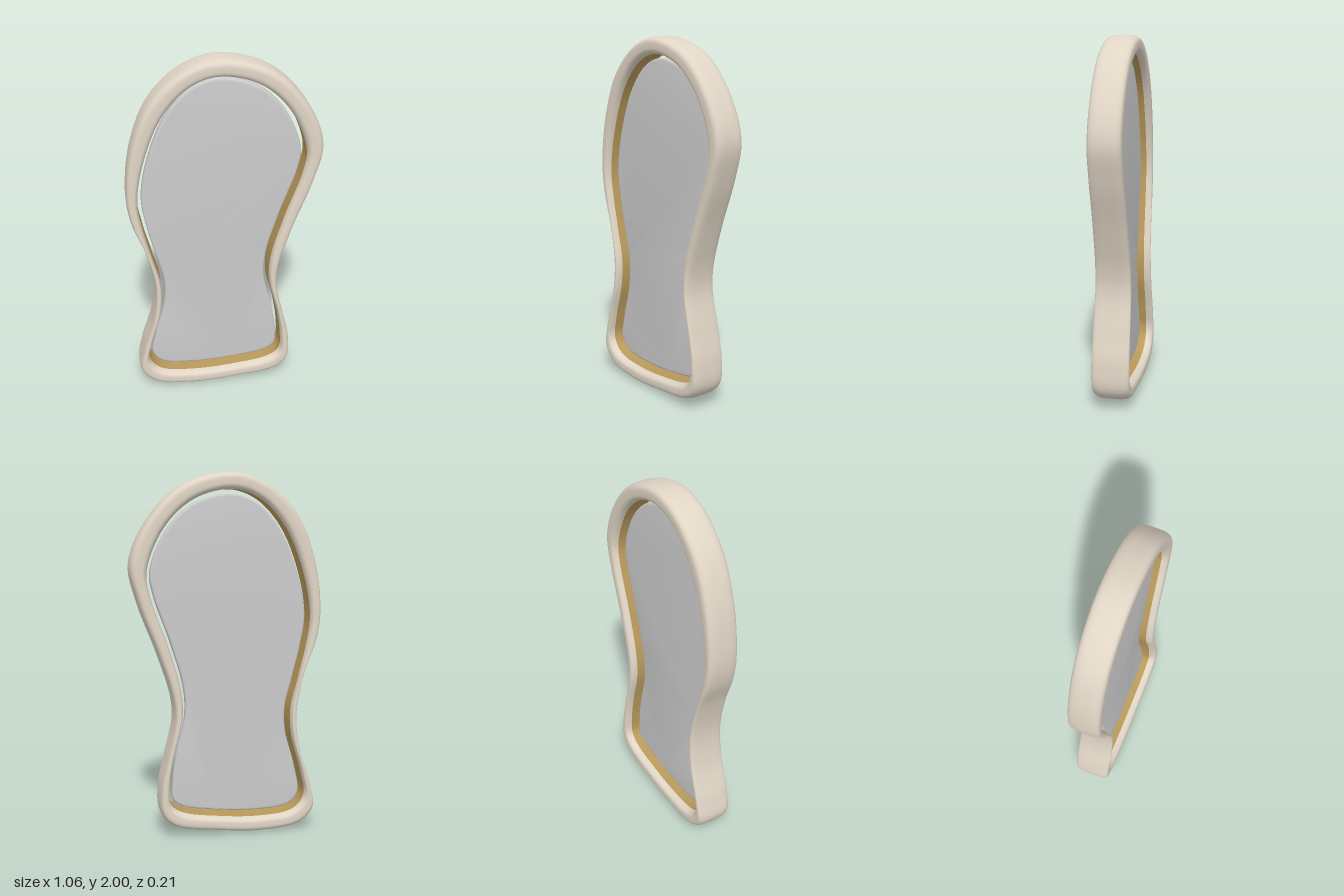
import * as THREE from 'three';
import { toCreasedNormals } from 'three/addons/utils/BufferGeometryUtils.js';

const STEPS = 200;

// Outer rim of the frame and edge of the panel, paired point by point, clockwise from the top
const RIM = [
  [-0.02, 2], [0.25, 1.925], [0.44, 1.73], [0.528, 1.51], [0.485, 1.3], [0.38, 1.02], [0.305, 0.78],
  [0.295, 0.65], [0.34, 0.44], [0.375, 0.28], [0.37, 0.13], [0.3, 0.06], [0.06, 0.02], [-0.2, 0.002],
  [-0.415, 0.035], [-0.497, 0.12], [-0.48, 0.25], [-0.415, 0.465], [-0.395, 0.68], [-0.44, 0.915],
  [-0.51, 1.1], [-0.53, 1.26], [-0.49, 1.55], [-0.385, 1.79], [-0.205, 1.95],
];
const EDGE = [
  [-0.03, 1.885], [0.17, 1.835], [0.325, 1.69], [0.415, 1.47], [0.4, 1.35], [0.305, 1.075], [0.238, 0.835],
  [0.23, 0.68], [0.28, 0.465], [0.303, 0.305], [0.3, 0.2], [0.25, 0.16], [0.06, 0.125], [-0.18, 0.11],
  [-0.365, 0.135], [-0.42, 0.2], [-0.4, 0.335], [-0.345, 0.545], [-0.34, 0.7], [-0.38, 0.865],
  [-0.425, 1.05], [-0.448, 1.21], [-0.415, 1.42], [-0.31, 1.685], [-0.175, 1.835],
];

function sampleLoop(points) {
  const curve = new THREE.CatmullRomCurve3(points.map(([x, y]) => new THREE.Vector3(x, y, 0)), true);
  return Array.from({ length: STEPS }, (_, i) => curve.getPoint(i / STEPS));
}

// Push a clockwise loop outwards
function offsetLoop(loop, d) {
  return loop.map((p, i) => {
    const t = loop[(i + 1) % STEPS].clone().sub(loop[(i + STEPS - 1) % STEPS]).normalize();
    return new THREE.Vector3(p.x - t.y * d, p.y + t.x * d, 0);
  });
}

// Frame is slightly deeper towards the foot
const halfDepth = (y) => 0.103 - 0.015 * THREE.MathUtils.smoothstep(y, 0.2, 1.3);

// Sweep a section of [u, w] pairs: u runs from inner to outer loop, w is depth
function sweep(inner, outer, section) {
  const pos = [], index = [], n = section.length;
  for (let i = 0; i < STEPS; i++) {
    for (const [u, w] of section) {
      const p = inner[i].clone().lerp(outer[i], u);
      pos.push(p.x, p.y, w * halfDepth(outer[i].y));
    }
    for (let j = 0; j < n - 1; j++) {
      const a = i * n + j, b = ((i + 1) % STEPS) * n + j;
      index.push(a, a + 1, b, a + 1, b + 1, b);
    }
  }
  const geo = new THREE.BufferGeometry();
  geo.setAttribute('position', new THREE.Float32BufferAttribute(pos, 3));
  geo.setIndex(index);
  geo.computeVertexNormals();
  return geo;
}

export function createModel() {
  const group = new THREE.Group();
  const add = (name, geo, color, side = THREE.FrontSide) => {
    const mesh = new THREE.Mesh(geo, new THREE.MeshStandardMaterial({ color, side }));
    mesh.name = name;
    group.add(mesh);
  };

  const rim = sampleLoop(RIM);
  const edge = sampleLoop(EDGE);
  const opening = offsetLoop(edge, 0.02);

  // Padded frame: rounded box section, open along the inner wall
  const soft = (v) => Math.sign(v) * Math.abs(v) ** 0.6;
  const section = [];
  for (let k = 0; k <= 32; k++) {
    const a = (k / 16 - 1) * (Math.PI - 0.44);
    section.push([0.5 + 0.5 * soft(Math.cos(a)), soft(Math.sin(a))]);
  }
  add('frame', sweep(opening, rim, section), 0xe0d5c5);

  // Gold band closing the inner wall of the frame
  const [u, w] = section[0];
  add('innerBand', sweep(opening, rim, [[u, -w], [u, w]]), 0xb99a5b, THREE.DoubleSide);

  // Thin panel with bevelled edge, hanging in the middle of the opening
  const shape = new THREE.Shape(edge.map((p) => new THREE.Vector2(p.x, p.y)));
  const panel = new THREE.ExtrudeGeometry(shape, {
    depth: 0.03, bevelEnabled: true, bevelThickness: 0.01, bevelSize: 0.012, bevelOffset: -0.012, bevelSegments: 3,
  });
  panel.translate(0, 0, -0.015);
  add('panel', toCreasedNormals(panel, 0.6), 0xcccccc);

  return group;
}
